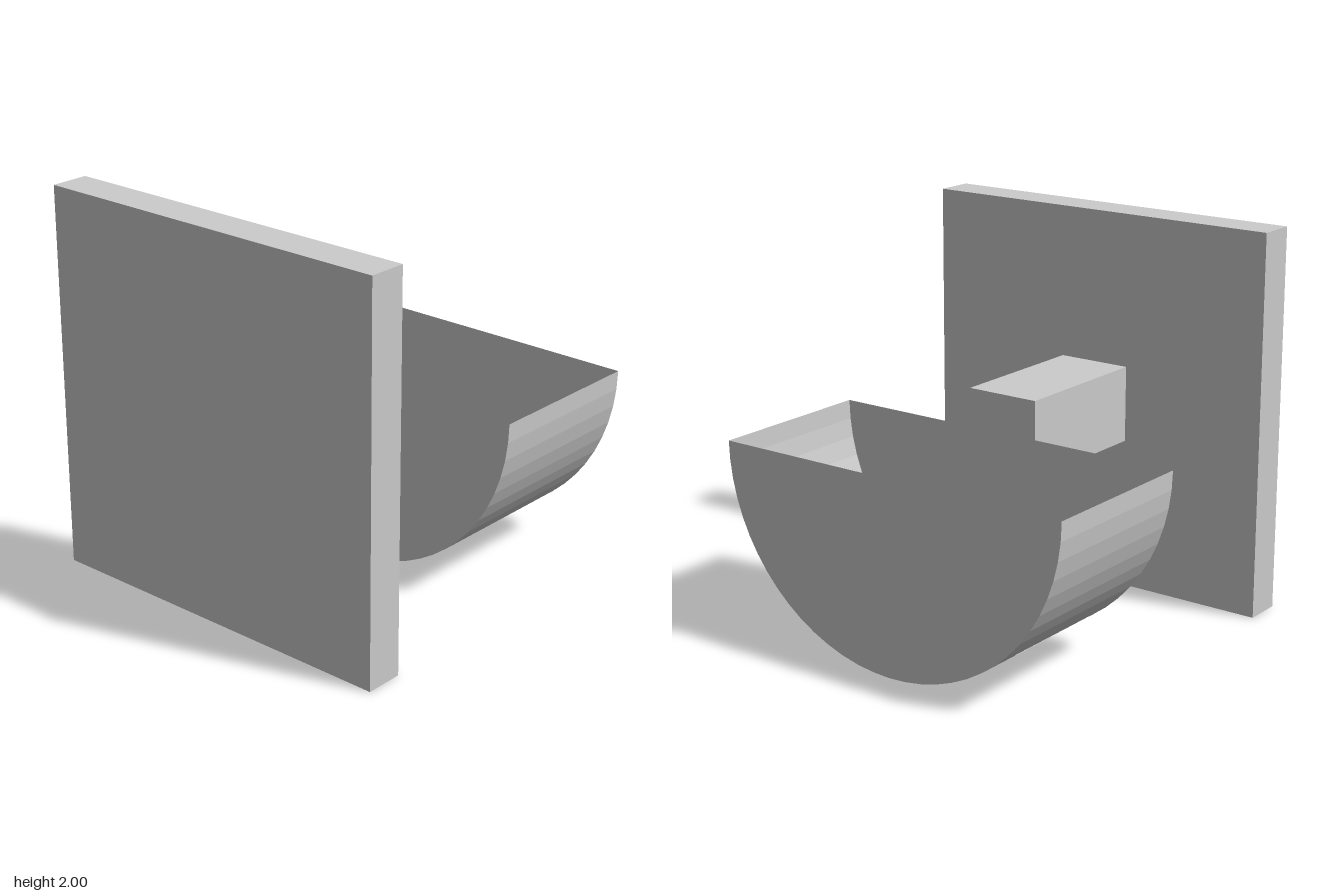
import * as THREE from 'three';

export function createModel() {
  const group = new THREE.Group();
  const grey = new THREE.MeshStandardMaterial({ color: 0xcccccc });
  const shell = new THREE.MeshStandardMaterial({ color: 0xcccccc, flatShading: true, side: THREE.DoubleSide });
  const pale = new THREE.MeshStandardMaterial({ color: 0xfffff5, side: THREE.DoubleSide });

  const add = (name, geometry, material, x, y, z) => {
    const mesh = new THREE.Mesh(geometry, material);
    mesh.name = name;
    mesh.position.set(x, y, z);
    group.add(mesh);
  };

  // Square plate and the arm that carries the trough
  add('plate', new THREE.BoxGeometry(2, 2, 0.2), grey, 0, 1, 0.85);
  add('arm', new THREE.BoxGeometry(0.4, 0.4, 0.8), grey, 0, 1, 0.35);

  // Open-topped half cylinder with closed half-disc ends
  const trough = new THREE.CylinderGeometry(1, 1, 0.9, 32, 1, false, -Math.PI / 2, Math.PI);
  trough.rotateX(Math.PI / 2);
  add('trough', trough, shell, 0, 1, -0.5);

  // Pale flat panel lying in the trough
  const panel = new THREE.PlaneGeometry(1.2, 0.6);
  panel.rotateX(-Math.PI / 2);
  add('panel', panel, pale, 0, 0.2, -0.45);

  return group;
}
